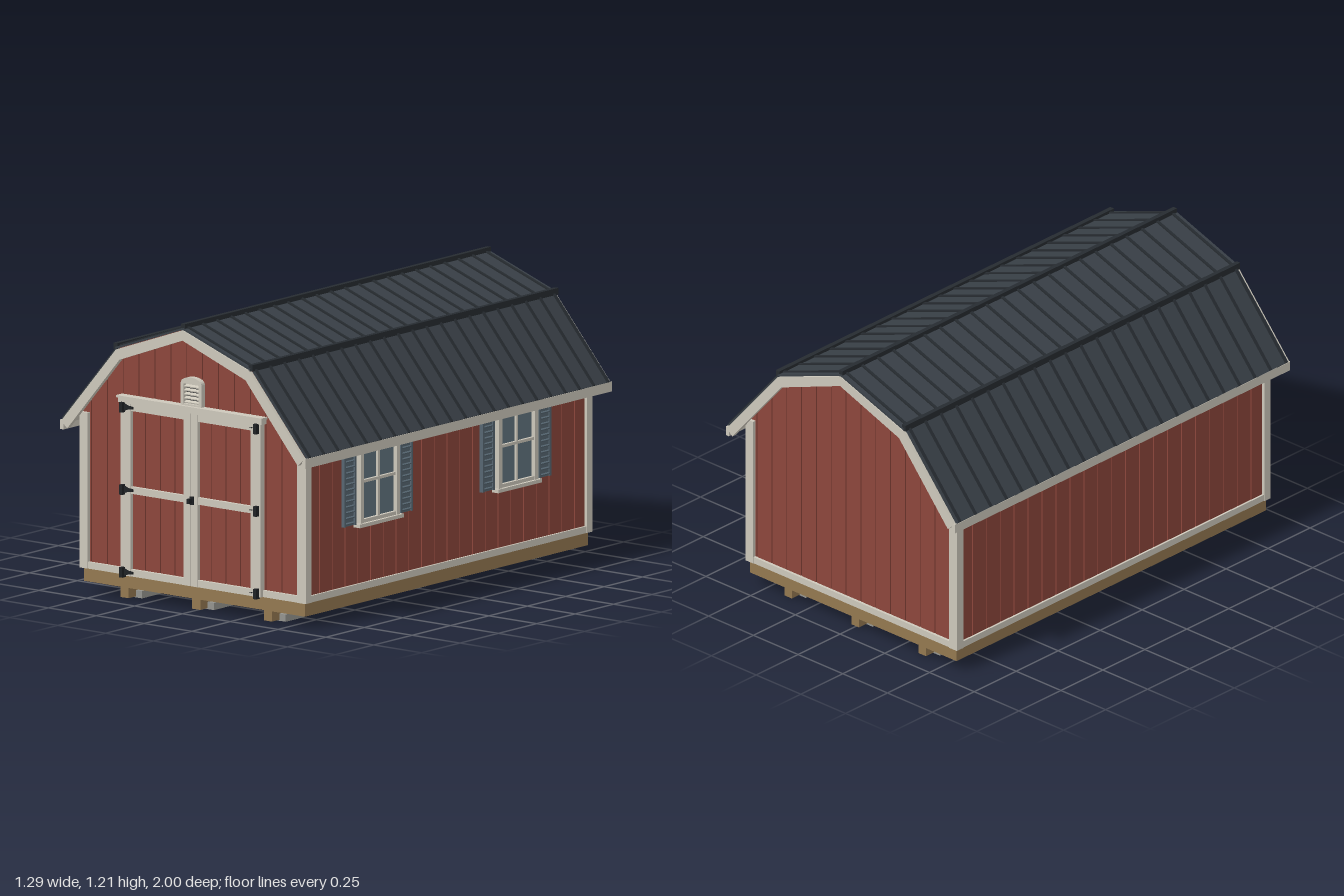
import * as THREE from 'three';

const mat = (name, color) => Object.assign(new THREE.MeshStandardMaterial({ color }), { name });

export function createModel() {
  const red = mat('barn red siding', 0x8c463b);
  const trim = mat('cream trim', 0xcdc8bb);
  const roofMat = mat('charcoal roof', 0x383f46);
  const seamMat = mat('dark roof seam', 0x262b30);
  const wood = mat('floor timber', 0x937850);
  const block = mat('concrete', 0x94948f);
  const iron = mat('black iron', 0x1f2225);
  const shutterMat = mat('slate shutter', 0x566671);
  const glass = mat('window glass', 0x61747f);

  const model = new THREE.Group();
  model.name = 'gambrelShed';
  const group = (name, parent = model) => {
    const g = new THREE.Group();
    g.name = name;
    parent.add(g);
    return g;
  };
  // Box given by its limits on each axis
  const box = (parent, name, m, x0, x1, y0, y1, z0, z1) => {
    const b = new THREE.Mesh(new THREE.BoxGeometry(x1 - x0, y1 - y0, z1 - z0), m);
    b.position.set((x0 + x1) / 2, (y0 + y1) / 2, (z0 + z1) / 2);
    b.name = name;
    parent.add(b);
    return b;
  };
  // Outline in x/y pushed from z0 to z1
  const slab = (parent, name, m, pts, z0, z1, hole) => {
    const shape = new THREE.Shape(pts.map(p => new THREE.Vector2(p[0], p[1])));
    if (hole) shape.holes.push(new THREE.Path(hole.map(p => new THREE.Vector2(p[0], p[1]))));
    const s = new THREE.Mesh(new THREE.ExtrudeGeometry(shape, { depth: z1 - z0, bevelEnabled: false }), m);
    s.position.z = z0;
    s.name = name;
    parent.add(s);
    return s;
  };

  // Gambrel line, moved inward by d: ridge, knee, eave
  const line = d => [[0, 1.19 - d], [0.352 - 0.43 * d, 1.065 - 0.95 * d], [0.642 - 0.75 * d, 0.728 - 0.65 * d]];
  const full = d => {
    const p = line(d);
    return [[-p[2][0], p[2][1]], [-p[1][0], p[1][1]], p[0], p[1], p[2]];
  };
  const band = (parent, name, m, d0, d1, z0, z1) =>
    slab(parent, name, m, [...full(d0), ...full(d1).reverse()], z0, z1);
  const roofY = (x, d) => {
    const [a, b, c] = line(d), t = Math.abs(x);
    const [p, q] = t < b[0] ? [a, b] : [b, c];
    return p[1] + (q[1] - p[1]) * (t - p[0]) / (q[0] - p[0]);
  };

  // Foundation: blocks, skids, floor frame
  const base = group('foundation');
  for (const x of [-0.375, 0, 0.375]) {
    box(base, 'skid', wood, x - 0.021, x + 0.021, 0.004, 0.052, -0.91, 0.91);
    for (const z of [-0.8, 0, 0.8]) box(base, 'concreteBlock', block, x - 0.054, x + 0.054, 0, 0.03, z - 0.062, z + 0.062);
  }
  box(base, 'floorFrame', wood, -0.578, 0.578, 0.05, 0.106, -0.922, 0.922);

  // Wall core and grooved siding boards
  const walls = group('walls');
  const topD = 0.025;
  const gable = (x0, x1) => {
    const xs = [x0, x1, 0, line(topD)[1][0], -line(topD)[1][0]].filter(x => x >= x0 && x <= x1).sort((a, b) => b - a);
    return [[x0, 0.105], [x1, 0.105], ...xs.map(x => [x, roofY(x, topD)])];
  };
  slab(walls, 'wallCore', red, gable(-0.57, 0.57), -0.911, 0.911);
  const pitch = 0.083, gap = 0.005;
  for (let i = -7; i <= 7; i++) {
    const x0 = Math.max(-0.58, (i - 0.5) * pitch + gap / 2), x1 = Math.min(0.58, (i + 0.5) * pitch - gap / 2);
    for (const z of [-0.92, 0.911]) slab(walls, 'gableBoard', red, gable(x0, x1), z, z + 0.009);
  }
  for (let i = 0; i < 22; i++) {
    const z = -0.913 + i * pitch;
    for (const s of [-1, 1]) {
      const x = s * 0.575;
      box(walls, 'sideBoard', red, x - 0.005, x + 0.005, 0.105, 0.772, z + gap / 2, z + pitch - gap / 2);
    }
  }

  // Corner and base trim
  const trims = group('wallTrim');
  for (const s of [-1, 1]) {
    const x = s * 0.584;
    box(trims, 'sideBaseTrim', trim, x - 0.005, x + 0.005, 0.106, 0.134, -0.93, 0.93);
    for (const e of [-1, 1]) {
      const z = e * 0.926;
      box(trims, 'gableCornerTrim', trim, s * 0.569 - 0.021, s * 0.569 + 0.021, 0.106, 0.755, z - 0.009, z + 0.009);
      box(trims, 'sideCornerTrim', trim, x - 0.008, x + 0.008, 0.106, 0.755, e * 0.915 - 0.019, e * 0.915 + 0.019);
    }
    const z = s * 0.925;
    box(trims, 'gableBaseTrim', trim, -0.57, 0.57, 0.106, 0.134, z - 0.007, z + 0.007);
  }

  // Roof: metal skin, sheathing, rakes, fascias
  const roof = group('roof');
  band(roof, 'roofSkin', roofMat, 0, 0.008, -0.986, 0.986);
  band(roof, 'sheathing', red, 0.008, 0.013, -0.984, 0.984);
  band(roof, 'soffit', trim, 0.013, 0.026, -0.982, 0.982);
  for (const z of [-1, 0.98]) band(roof, 'rakeBoard', trim, 0.01, 0.053, z, z + 0.02);
  for (const s of [-1, 1]) {
    box(roof, 'eaveFascia', trim, s * 0.632 - 0.009, s * 0.632 + 0.009, 0.686, 0.726, -0.998, 0.998);
    // Standing seams on both slopes
    const [a, b, c] = line(0);
    for (const [p, q] of [[a, b], [b, c]]) {
      const len = Math.hypot(q[0] - p[0], q[1] - p[1]);
      const angle = Math.atan2(q[1] - p[1], q[0] - p[0]);
      const geo = new THREE.BoxGeometry(len, 0.012, 0.012);
      for (let i = 0; i < 22; i++) {
        const seam = new THREE.Mesh(geo, seamMat);
        seam.name = 'standingSeam';
        seam.position.set(s * (p[0] + q[0]) / 2, (p[1] + q[1]) / 2, -0.97 + i * 0.0925);
        seam.rotation.z = s * angle;
        roof.add(seam);
      }
      // Upper skin reaches out over the rake
      if (p === a) for (const e of [-1, 1]) {
        const edge = new THREE.Mesh(new THREE.BoxGeometry(len, 0.008, 0.02), roofMat);
        edge.name = 'rakeFlashing';
        edge.position.set(s * (p[0] + q[0]) / 2, (p[1] + q[1]) / 2 - 0.004, e * 0.988);
        edge.rotation.z = s * angle;
        roof.add(edge);
      }
    }
    box(roof, 'kneeCap', seamMat, s * 0.353 - 0.01, s * 0.353 + 0.01, 1.054, 1.081, -0.996, 0.996);
  }
  box(roof, 'ridgeCap', seamMat, -0.01, 0.01, 1.178, 1.206, -0.996, 0.996);

  // Double doors
  const doors = group('doubleDoor');
  box(doors, 'header', trim, -0.375, 0.375, 0.826, 0.85, 0.915, 0.952);
  box(doors, 'headerCap', trim, -0.38, 0.38, 0.846, 0.855, 0.915, 0.96);
  for (const s of [-1, 1]) {
    const leaf = group(s > 0 ? 'leftLeaf' : 'rightLeaf', doors);
    const span = (name, a, b, y0, y1, z1, m = trim) =>
      box(leaf, name, m, Math.min(s * a, s * b), Math.max(s * a, s * b), y0, y1, 0.915, z1);
    for (let i = 0; i < 4; i++) span('leafBoard', 0.02 + i * 0.077, 0.092 + i * 0.077, 0.11, 0.82, 0.93, red);
    span('hingeStile', 0.314, 0.366, 0.106, 0.826, 0.947);
    span('meetingStile', 0.0015, 0.036, 0.106, 0.826, 0.947);
    for (const [y0, y1] of [[0.106, 0.135], [0.45, 0.479], [0.795, 0.826]]) span('rail', 0.03, 0.32, y0, y1, 0.945);
    // Strap hinges
    for (const y of [0.121, 0.465, 0.808]) {
      box(leaf, 'hingeBarrel', iron, s * 0.35 - 0.008, s * 0.35 + 0.008, y - 0.021, y + 0.021, 0.94, 0.966);
      if (s < 0) slab(leaf, 'hingeStrap', iron,
        [[-0.345, y - 0.016], [-0.325, y - 0.008], [-0.3, y - 0.005], [-0.3, y + 0.005], [-0.325, y + 0.008], [-0.345, y + 0.016]], 0.945, 0.953);
      else for (const x of [0.312, 0.321, 0.333]) box(leaf, 'hingeBolt', iron, x - 0.002, x + 0.002, y - 0.002, y + 0.002, 0.943, 0.95);
    }
  }
  box(doors, 'latchPlate', iron, 0.002, 0.018, 0.447, 0.481, 0.945, 0.955);
  box(doors, 'latchHandle', iron, 0.004, 0.016, 0.455, 0.475, 0.95, 0.978);

  // Arched gable vent
  const vent = group('gableVent');
  const arch = (w, y0, y1, rise) => {
    const pts = [[-w, y0], [w, y0]];
    for (let i = 0; i <= 12; i++) {
      const t = i / 12 * Math.PI;
      pts.push([w * Math.cos(t), y1 + rise * Math.sin(t)]);
    }
    return pts;
  };
  slab(vent, 'ventFrame', trim, arch(0.054, 0.854, 0.948, 0.026), 0.915, 0.944,
    [[-0.038, 0.862], [-0.038, 0.945], [0.038, 0.945], [0.038, 0.862]]);
  box(vent, 'ventOpening', iron, -0.04, 0.04, 0.86, 0.947, 0.915, 0.925);
  for (let i = 0; i < 5; i++) {
    const slat = box(vent, 'louver', trim, -0.039, 0.039, 0.867 + i * 0.0165, 0.872 + i * 0.0165, 0.924, 0.942);
    slat.rotation.x = 0.3;
  }

  // Side windows with shutters
  for (const zc of [0.465, -0.435]) {
    const w = group('sideWindow');
    w.position.z = zc;
    box(w, 'pane', glass, 0.575, 0.588, 0.39, 0.71, -0.115, 0.115);
    for (const s of [-1, 1]) {
      box(w, 'casing', trim, 0.575, 0.606, 0.385, 0.715, s * 0.117 - 0.011, s * 0.117 + 0.011);
      const z = s * 0.184;
      box(w, 'shutter', shutterMat, 0.575, 0.59, 0.385, 0.715, z - 0.039, z + 0.039);
      for (const e of [-1, 1]) box(w, 'shutterStile', shutterMat, 0.575, 0.597, 0.385, 0.715, z + e * 0.034 - 0.005, z + e * 0.034 + 0.005);
      for (let i = 0; i < 14; i++) {
        const y = 0.397 + i * 0.0235;
        const slat = box(w, 'shutterSlat', shutterMat, 0.584, 0.596, y - 0.003, y + 0.003, z - 0.03, z + 0.03);
        slat.rotation.z = -0.5;
      }
    }
    box(w, 'headCasing', trim, 0.575, 0.606, 0.695, 0.718, -0.128, 0.128);
    box(w, 'bottomRail', trim, 0.575, 0.602, 0.385, 0.402, -0.115, 0.115);
    box(w, 'sill', trim, 0.575, 0.614, 0.372, 0.387, -0.143, 0.143);
    box(w, 'meetingRail', trim, 0.575, 0.6, 0.553, 0.565, -0.11, 0.11);
    box(w, 'muntin', trim, 0.575, 0.598, 0.39, 0.7, -0.006, 0.006);
  }
  return model;
}
